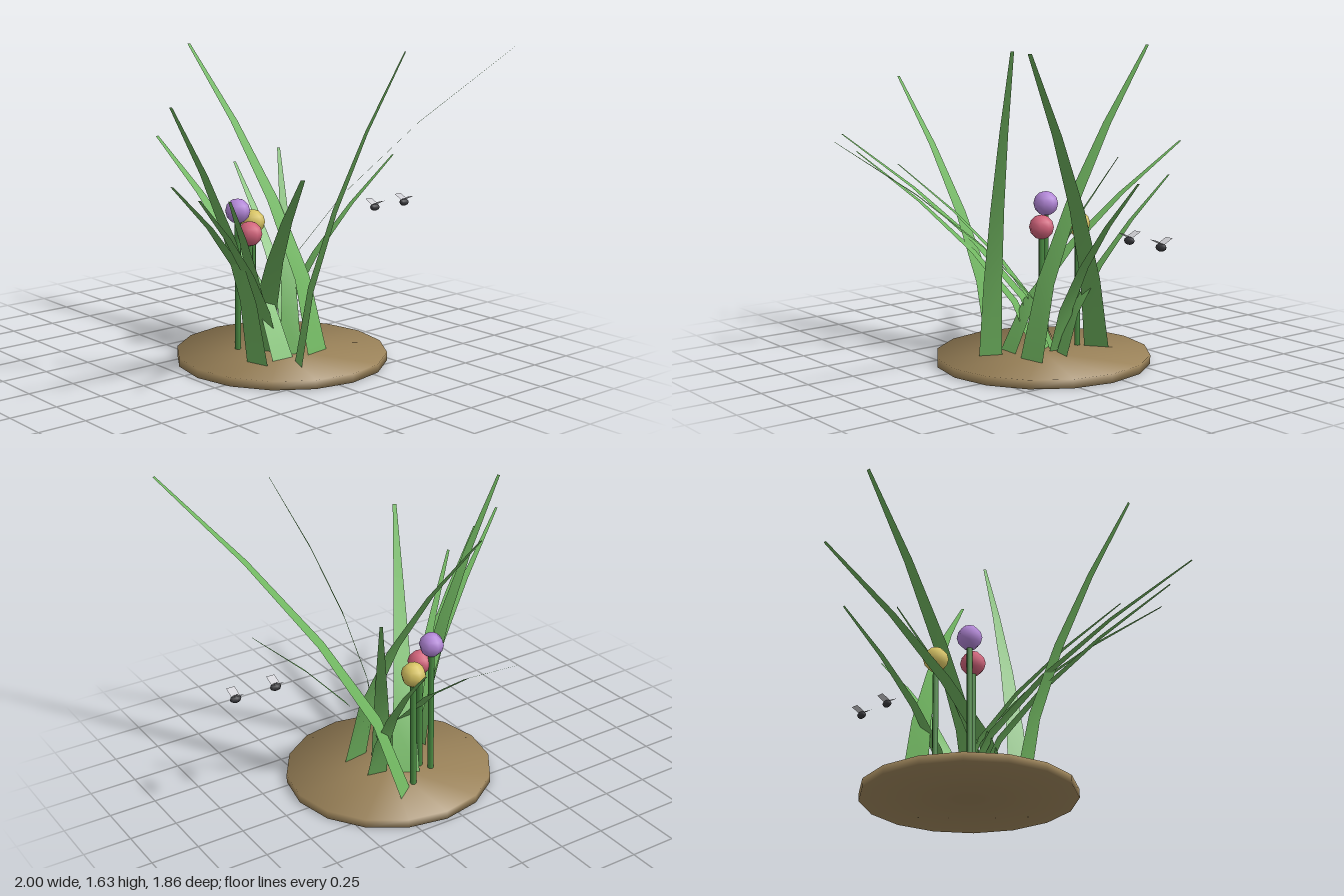
import * as THREE from 'three';
import { mergeVertices } from 'three/addons/utils/BufferGeometryUtils.js';

const mat = (name, color, opts = {}) => {
  const m = new THREE.MeshStandardMaterial({ color, ...opts });
  m.name = name;
  return m;
};

const GROUND = 0.045;

// Curved, tapering strip that leans from its root towards its tip
function bladeGeometry([bx, bz], [tx, ty, tz], width) {
  const segments = 4, points = [], index = [];
  const dx = tx - bx, dz = tz - bz, length = Math.hypot(dx, dz);
  const px = -dz / length, pz = dx / length;
  for (let i = 0; i <= segments; i++) {
    const t = i / segments, lean = Math.pow(t, 1.55);
    const half = (width / 2) * (1 - 0.86 * t);
    const x = bx + dx * lean, z = bz + dz * lean;
    const y = GROUND - 0.01 + (ty - GROUND + 0.01) * t;
    points.push(x - px * half, y, z - pz * half, x + px * half, y, z + pz * half);
    if (i < segments) {
      const a = i * 2;
      index.push(a, a + 1, a + 2, a + 1, a + 3, a + 2);
    }
  }
  const g = new THREE.BufferGeometry();
  g.setAttribute('position', new THREE.Float32BufferAttribute(points, 3));
  g.setIndex(index);
  g.computeVertexNormals();
  return g;
}

// Sixteen-sided disc with softly rounded shading over its rim
function discGeometry(radius, height) {
  let g = new THREE.CylinderGeometry(radius, radius, height, 16);
  g.deleteAttribute('uv');
  g.deleteAttribute('normal');
  g = mergeVertices(g);
  g.computeVertexNormals();
  const p = g.attributes.position, n = new THREE.Vector3();
  for (let i = 0; i < p.count; i++) {
    n.set(p.getX(i) / radius, Math.sign(p.getY(i)), p.getZ(i) / radius).normalize();
    g.attributes.normal.setXYZ(i, n.x, n.y, n.z);
  }
  return g;
}

export function createModel() {
  const model = new THREE.Group();
  model.name = 'grassClump';

  const soil = mat('soil brown', 0x9a8259);
  const grass = mat('grass green', 0x70b560, { side: THREE.DoubleSide });
  const stemGreen = mat('stem green', 0x4a8a42);
  const purple = mat('purple', 0xb185d6);
  const pink = mat('pink', 0xd0627a);
  const yellow = mat('yellow', 0xd6c262);
  const dark = mat('insect dark', 0x38383c);
  const pale = mat('wing grey', 0xcfcfd4, { side: THREE.DoubleSide });

  const add = (parent, name, geometry, material, x = 0, y = 0, z = 0) => {
    const mesh = new THREE.Mesh(geometry, material);
    mesh.name = name;
    mesh.position.set(x, y, z);
    parent.add(mesh);
    return mesh;
  };

  // Ground disc
  add(model, 'groundDisc', discGeometry(0.55, GROUND), soil, 0.08, GROUND / 2, 0.07);

  // Grass blades: root (x, z), tip (x, y, z), root width
  const blades = [
    [[-0.03, 0.215], [0.015, 1.06, -0.93], 0.13],
    [[0.19, 0.23], [0.04, 1.59, -0.66], 0.15],
    [[0.18, 0.03], [0.295, 0.93, -0.59], 0.11],
    [[0.1, -0.01], [0.84, 1.0, 0.1], 0.1],
    [[0.16, -0.22], [0.97, 1.63, 0.83], 0.13],
    [[-0.025, 0.325], [0.47, 1.61, 0.55], 0.12],
    [[0.05, -0.05], [-0.52, 1.13, 0.92], 0.15],
    [[0.03, 0.0], [-1.0, 1.11, 0.6], 0.1],
    [[0.01, 0.06], [-0.85, 1.03, 0.6], 0.1],
    [[0.03, -0.03], [-0.6, 0.98, 0.5], 0.1],
    [[-0.18, 0.19], [-0.82, 1.42, 0.35], 0.13],
    [[0.06, 0.17], [0.31, 1.05, -0.23], 0.11],
  ];
  const tuft = new THREE.Group();
  tuft.name = 'grassBlades';
  model.add(tuft);
  for (const [root, tip, width] of blades) {
    add(tuft, 'grassBlade', bladeGeometry(root, tip, width), grass);
  }

  // Flowers: a round head on a straight stem
  const flowers = [
    [-0.09, 0.78, -0.08, purple],
    [-0.055, 0.665, -0.025, pink],
    [0.075, 0.69, -0.16, yellow],
  ];
  for (const [x, y, z, colour] of flowers) {
    const flower = new THREE.Group();
    flower.name = 'flower';
    flower.position.set(x, 0, z);
    model.add(flower);
    const h = y - GROUND;
    add(flower, 'flowerStem', new THREE.CylinderGeometry(0.016, 0.016, h, 6), stemGreen, 0, GROUND + h / 2, 0);
    add(flower, 'flowerHead', new THREE.SphereGeometry(0.065, 8, 6), colour, 0, y, 0);
  }

  // Hovering insects: oval body with two raised wings
  for (const x of [0.742, 0.964]) {
    const insect = new THREE.Group();
    insect.name = 'insect';
    insect.position.set(x, 0.717, 0.068);
    model.add(insect);
    add(insect, 'insectBody', new THREE.SphereGeometry(0.02, 8, 6), dark).scale.x = 1.55;
    for (const s of [-1, 1]) {
      const wing = new THREE.PlaneGeometry(0.046, 0.056).rotateX(-Math.PI / 2);
      add(insect, 'insectWing', wing, pale, 0, 0.028, s * 0.026).rotation.x = -s * 0.45;
    }
  }
  return model;
}
